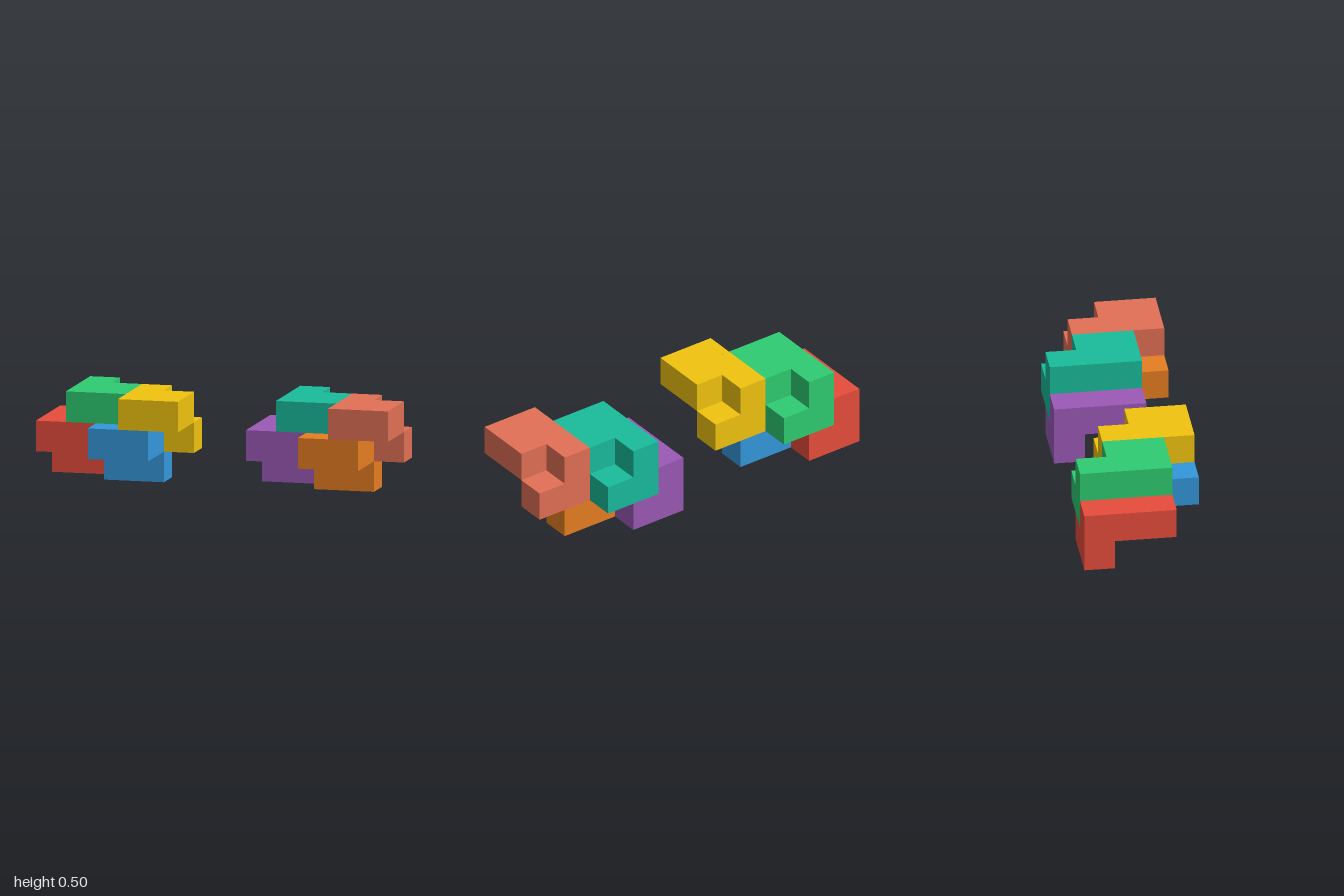
import * as THREE from 'three';
import { mergeGeometries } from 'three/addons/utils/BufferGeometryUtils.js';

const U = 1 / 6; // edge of one cube

// Cells [x, y, z] of one puzzle piece: a notched 2 x 3 slab with a bar under its back edge
const CELLS = [
  [0, 0, 0], [1, 0, 0],
  [0, 1, 0],
  [0, 1, 1], [1, 1, 1],
  [0, 1, 2], [1, 1, 2],
];

const DIRECTIONS = [[1, 0, 0], [-1, 0, 0], [0, 1, 0], [0, -1, 0], [0, 0, 1], [0, 0, -1]];

// Outer skin of a set of cubes: one square per face that has no neighbour
function polycube(cells) {
  const filled = new Set(cells.map(String));
  const faces = [];
  for (const [x, y, z] of cells) {
    for (const [dx, dy, dz] of DIRECTIONS) {
      if (filled.has(String([x + dx, y + dy, z + dz]))) continue;
      const face = new THREE.PlaneGeometry(U, U);
      face.lookAt(new THREE.Vector3(dx, dy, dz));
      face.translate((x + 0.5 + dx / 2) * U, (y + 0.5 + dy / 2) * U, (z + 0.5 + dz / 2) * U);
      faces.push(face);
    }
  }
  return mergeGeometries(faces);
}

// Where the four pieces interlock inside a cluster, in cubes
const PLACES = [
  { name: 'LowerBackPiece', at: [0, 0, 0] },
  { name: 'LowerFrontPiece', at: [2, 0, 1] },
  { name: 'UpperBackPiece', at: [1, 1, 0] },
  { name: 'UpperFrontPiece', at: [3, 1, 1] },
];

// The two clusters with the colours of their pieces, in the order of PLACES
const CLUSTERS = [
  { name: 'right', x: -6, colors: [0xe74c3c, 0x3498db, 0x2ecc71, 0xf1c40f] },
  { name: 'left', x: 1, colors: [0x9b59b6, 0xe67e22, 0x1abc9c, 0xe17055] },
];

export function createModel() {
  const model = new THREE.Group();
  model.name = 'interlockingPieces';
  const geometry = polycube(CELLS);

  for (const { name, x, colors } of CLUSTERS) {
    const cluster = new THREE.Group();
    cluster.name = name + 'Cluster';
    cluster.position.set(x * U, 0, -2 * U);
    PLACES.forEach((place, i) => {
      const piece = new THREE.Mesh(geometry, new THREE.MeshStandardMaterial({ color: colors[i] }));
      piece.name = name + place.name;
      piece.position.set(...place.at).multiplyScalar(U);
      cluster.add(piece);
    });
    model.add(cluster);
  }
  return model;
}
